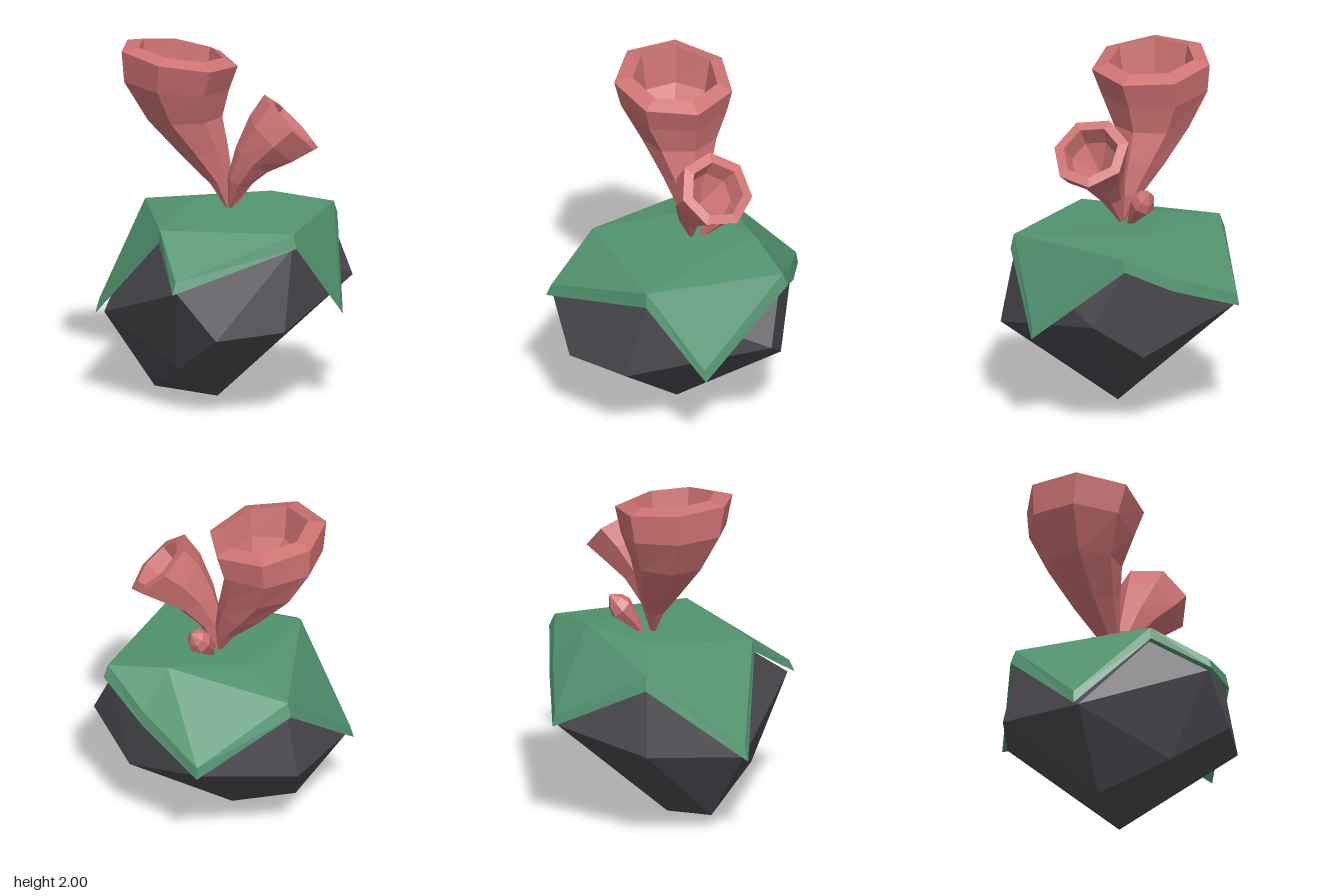
import * as THREE from 'three';
import { ConvexGeometry } from 'three/addons/geometries/ConvexGeometry.js';

const V = (p) => new THREE.Vector3(...p);

// Faceted geometry from a list of triangle corners
function faceted(corners) {
  const g = new THREE.BufferGeometry().setFromPoints(corners);
  g.computeVertexNormals();
  return g;
}

// Seven-sided loft; each section is [centre, radius, axis direction], turned by phase
function loft(sections, phase = 0, sides = 7) {
  const up = new THREE.Vector3(0, 1, 0);
  const rings = sections.map(([c, r, n]) => {
    const q = new THREE.Quaternion().setFromUnitVectors(up, V(n).normalize());
    return Array.from({ length: sides }, (_, j) => {
      const t = Math.PI + phase + (j / sides) * Math.PI * 2;
      return new THREE.Vector3(Math.sin(t) * r, 0, Math.cos(t) * r).applyQuaternion(q).add(V(c));
    });
  });
  const out = [];
  for (let i = 0; i < rings.length - 1; i++) {
    for (let j = 0; j < sides; j++) {
      const k = (j + 1) % sides, a = rings[i], b = rings[i + 1];
      out.push(a[j], a[k], b[k], a[j], b[k], b[j]);
    }
  }
  return faceted(out);
}

// Moss blanket: top sheet, rim and underside
function mossGeometry() {
  // [upper rim point, lower rim point], counter-clockwise from the front
  const rim = [
    [[0, 1.04, 0.48], [0, 0.97, 0.49]],
    [[0.28, 0.82, 0.66], [0.285, 0.75, 0.69]],
    [[0.62, 1.04, 0.05], [0.64, 0.96, 0.05]],
    [[0.665, 0.6, -0.29], [0.675, 0.53, -0.3]],
    [[0.28, 1.05, -0.66], [0.28, 0.98, -0.69]],
    [[-0.03, 0.89, -0.64], [-0.03, 0.82, -0.66]],
    [[-0.46, 0.73, -0.59], [-0.47, 0.66, -0.6]],
    [[-0.6, 1.03, -0.06], [-0.63, 0.95, -0.06]],
    [[-0.46, 0.57, 0.48], [-0.47, 0.49, 0.5]],
  ];
  const crown = [
    [[0, 1.1, -0.45], [0, 1.03, -0.45]],
    [[-0.25, 1.085, -0.08], [-0.25, 1.015, -0.08]],
  ];
  const all = [...rim, ...crown];
  const upper = all.map((p) => V(p[0])), lower = all.map((p) => V(p[1]));
  const faces = [
    [0, 1, 2], [2, 3, 4], [4, 5, 9], [5, 6, 9], [6, 7, 9], [7, 10, 9],
    [7, 8, 0], [7, 0, 10], [0, 2, 10], [10, 2, 9], [2, 4, 9],
  ];
  const out = [];
  for (const [a, b, c] of faces) {
    out.push(upper[a], upper[b], upper[c], lower[a], lower[c], lower[b]);
  }
  for (let i = 0; i < rim.length; i++) {
    const k = (i + 1) % rim.length;
    out.push(upper[i], lower[i], lower[k], upper[i], lower[k], upper[k]);
  }
  return faceted(out);
}

export function createModel() {
  const group = new THREE.Group();
  const stone = new THREE.MeshStandardMaterial({ name: 'dark stone', color: 0x4b494f });
  const green = new THREE.MeshStandardMaterial({ name: 'moss green', color: 0x52946f });
  const pink = new THREE.MeshStandardMaterial({ name: 'coral pink', color: 0xce7373 });
  const add = (name, geometry, material) => {
    const mesh = new THREE.Mesh(geometry, material);
    mesh.name = name;
    group.add(mesh);
  };

  // Faceted boulder
  add('rock', new ConvexGeometry([
    [0, 0, 0], [-0.23, 0.07, 0.27], [0.13, 0.26, 0.46], [-0.68, 0.57, -0.05],
    [0.46, 0.48, 0.52], [0.65, 0.5, 0.16], [-0.43, 0.5, 0.47], [0.28, 0.75, 0.65],
    [0.45, 0.66, -0.63], [0.13, 0.44, -0.62], [-0.45, 0.66, -0.57],
    [0, 0.96, 0.465], [0.61, 0.96, 0.05], [0.27, 0.97, -0.64], [-0.59, 0.95, -0.06],
    [0, 0.97, -0.38],
  ].map(V)), stone);

  add('mossCap', mossGeometry(), green);

  // Large trumpet: outer wall, lip, then hollow
  add('largeTrumpet', loft([
    [[0.01, 1.07, -0.08], 0.012, [-0.2, 1, 0.1]],
    [[-0.035, 1.22, -0.07], 0.065, [-0.25, 1, 0.1]],
    [[-0.125, 1.39, -0.03], 0.135, [-0.2, 1, 0.1]],
    [[-0.225, 1.58, 0.03], 0.215, [-0.02, 1, 0.02]],
    [[-0.26, 1.775, 0.065], 0.305, [0.08, 1, -0.06]],
    [[-0.238, 1.935, 0.065], 0.34, [0.12, 1, -0.1]],
    [[-0.235, 1.965, 0.055], 0.245, [0.12, 1, -0.1]],
    [[-0.235, 1.78, 0.055], 0.21, [0, 1, 0]],
    [[-0.12, 1.5, 0.06], 0.002, [-0.3, 1, 0.2]],
  ], -0.05), pink);

  // Small trumpet leaning to the back
  add('smallTrumpet', loft([
    [[0.015, 1.07, -0.085], 0.012, [0.3, 1, -0.2]],
    [[0.075, 1.23, -0.09], 0.068, [0.4, 1, -0.25]],
    [[0.15, 1.365, -0.135], 0.122, [0.5, 0.9, -0.4]],
    [[0.235, 1.48, -0.205], 0.187, [0.5, 0.7, -0.45]],
    [[0.3, 1.57, -0.285], 0.22, [0.5, 0.7, -0.5]],
    [[0.305, 1.575, -0.29], 0.16, [0.5, 0.7, -0.5]],
    [[0.255, 1.495, -0.235], 0.135, [0.5, 0.7, -0.5]],
    [[0.18, 1.39, -0.165], 0.002, [0.5, 0.7, -0.5]],
  ], 0.3), pink);

  // Closed bud
  add('bud', loft([
    [[-0.005, 1.07, -0.14], 0.014, [-0.1, 0.7, -0.7]],
    [[-0.02, 1.14, -0.19], 0.042, [-0.1, 0.7, -0.7]],
    [[-0.035, 1.22, -0.255], 0.072, [-0.1, 0.7, -0.7]],
    [[-0.04, 1.26, -0.287], 0.053, [-0.1, 0.7, -0.7]],
    [[-0.045, 1.3, -0.32], 0.002, [-0.1, 0.7, -0.7]],
  ]), pink);

  return group;
}
